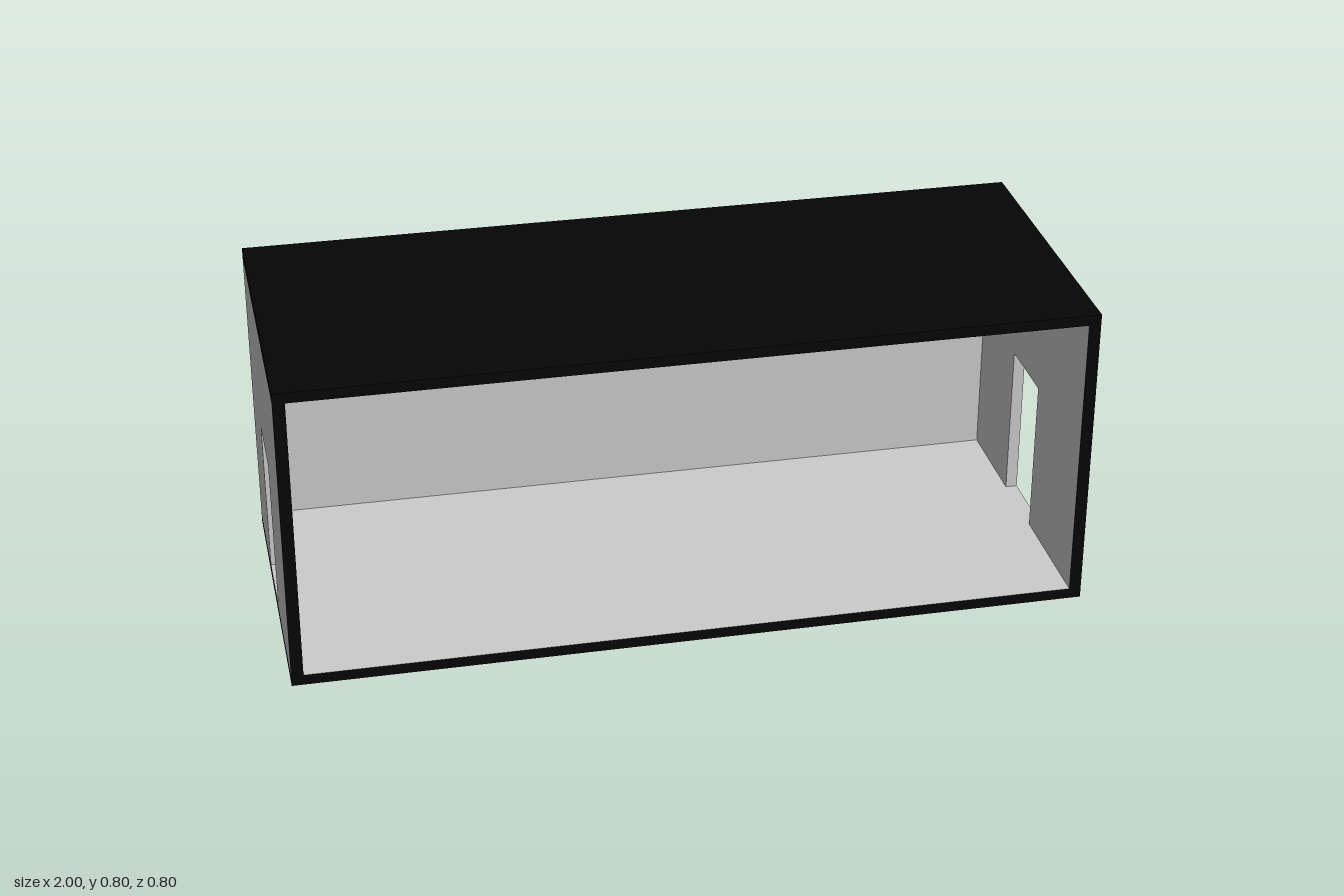
import * as THREE from 'three';

const grey = new THREE.MeshStandardMaterial({ color: 0xcccccc });
const black = new THREE.MeshStandardMaterial({ color: 0x050505 });

const LENGTH = 2, HEIGHT = 0.8, DEPTH = 0.8;
const SLAB = 0.027, WALL = 0.03, BACK = 0.004, TRIM = 0.001;
const DOOR = { back: -0.13, front: 0.07, top: 0.43 };

export function createModel() {
  const model = new THREE.Group();
  model.name = 'openRoom';
  const wallHeight = HEIGHT - 2 * SLAB;

  const add = (name, geometry, material, x, y, z) => {
    const mesh = new THREE.Mesh(geometry, material);
    mesh.name = name;
    mesh.position.set(x, y, z);
    model.add(mesh);
  };

  // Floor and roof slabs: black outside, grey on the face towards the room
  const slab = new THREE.BoxGeometry(LENGTH, SLAB, DEPTH);
  const faces = (inner) => [0, 1, 2, 3, 4, 5].map((i) => (i === inner ? grey : black));
  add('floor', slab, faces(2), 0, SLAB / 2, 0);
  add('roof', slab, faces(3), 0, HEIGHT - SLAB / 2, 0);

  // Thin back wall between the side walls
  add('backWall', new THREE.BoxGeometry(LENGTH - 2 * WALL, wallHeight, BACK), grey,
    0, HEIGHT / 2, -DEPTH / 2 + BACK / 2);

  // Side wall outline (z, y) with a doorway notch reaching the floor
  const front = DEPTH / 2 - TRIM, rear = -DEPTH / 2;
  const outline = new THREE.Shape([
    [rear, SLAB], [DOOR.back, SLAB], [DOOR.back, DOOR.top], [DOOR.front, DOOR.top],
    [DOOR.front, SLAB], [front, SLAB], [front, HEIGHT - SLAB], [rear, HEIGHT - SLAB],
  ].map(([z, y]) => new THREE.Vector2(z, y)));
  const wall = new THREE.ExtrudeGeometry(outline, { depth: WALL, bevelEnabled: false });
  wall.rotateY(-Math.PI / 2).translate(WALL / 2, 0, 0);

  // Black strip on the front edge of each side wall
  const trim = new THREE.BoxGeometry(WALL, wallHeight, TRIM);

  for (const [side, sign] of [['left', 1], ['right', -1]]) {
    const x = sign * (LENGTH - WALL) / 2;
    add(side + 'Wall', wall, grey, x, 0, 0);
    add(side + 'FrontEdge', trim, black, x, HEIGHT / 2, DEPTH / 2 - TRIM / 2);
  }
  return model;
}
